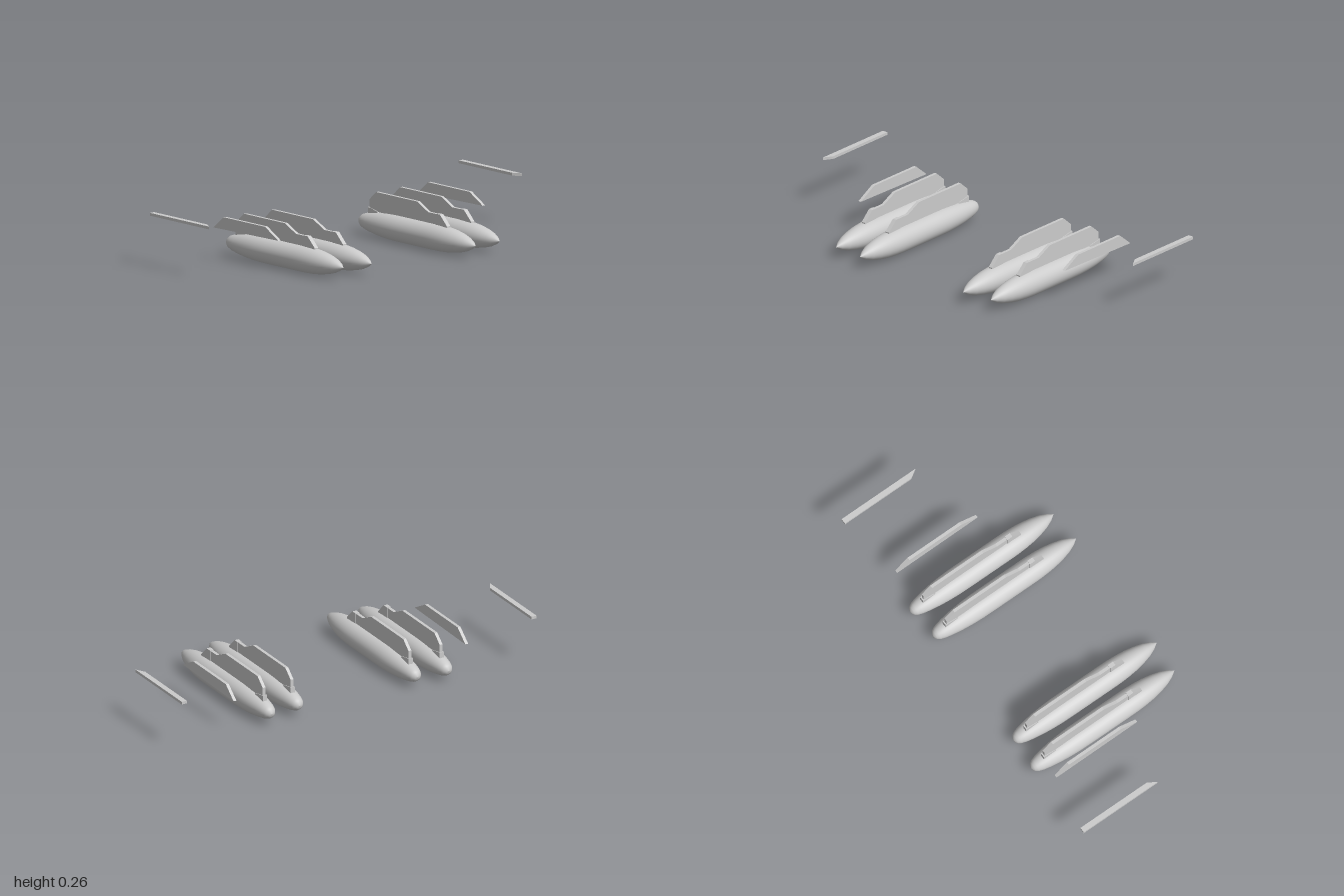
import * as THREE from 'three';

const grey = new THREE.MeshStandardMaterial({ color: 0xcccccc });

// Flat plate from an x-y outline, centred on z = 0
function plate(name, points, width) {
  const shape = new THREE.Shape(points.map(([x, y]) => new THREE.Vector2(x, y)));
  const geo = new THREE.ExtrudeGeometry(shape, { depth: width, bevelEnabled: false });
  geo.translate(0, 0, -width / 2);
  const mesh = new THREE.Mesh(geo, grey);
  mesh.name = name;
  return mesh;
}

// Drop tank: rounded tail at -x, pointed nose at +x
function createTank() {
  const profile = [
    [0, -0.41], [0.013, -0.407], [0.024, -0.399], [0.033, -0.385], [0.041, -0.36],
    [0.048, -0.325], [0.056, -0.27], [0.0615, -0.21], [0.0645, -0.15], [0.065, -0.08],
    [0.065, 0.14], [0.0645, 0.19], [0.062, 0.24], [0.057, 0.29], [0.048, 0.34],
    [0.036, 0.385], [0.02, 0.422], [0, 0.45],
  ].map(([r, x]) => new THREE.Vector2(r, x));
  const geo = new THREE.LatheGeometry(profile, 32);
  geo.rotateZ(-Math.PI / 2);
  geo.translate(0, 0.066, 0);
  const mesh = new THREE.Mesh(geo, grey);
  mesh.name = 'tank';
  return mesh;
}

// Tank with the pylon it hangs from
function createStore() {
  const store = new THREE.Group();
  store.add(createTank());
  store.add(plate('pylon', [
    [-0.335, 0.125], [0.245, 0.125], [0.245, 0.135], [0.195, 0.182], [0.105, 0.182],
    [0.022, 0.222], [-0.285, 0.222], [-0.335, 0.178],
  ], 0.016));
  store.add(plate('rearPylonFoot', [
    [-0.342, 0.1], [-0.26, 0.115], [-0.275, 0.128], [-0.31, 0.135], [-0.342, 0.14],
  ], 0.024));
  store.add(plate('frontPylonFoot', [
    [0.165, 0.12], [0.248, 0.12], [0.248, 0.133], [0.195, 0.184], [0.165, 0.184],
  ], 0.022));
  return store;
}

export function createModel() {
  const model = new THREE.Group();
  model.name = 'underwingStores';

  // Two tanks on each side, the outer ones set slightly back
  for (const [name, x, z] of [
    ['leftOuterStore', -0.015, 0.524], ['leftInnerStore', 0, 0.357],
    ['rightInnerStore', 0, -0.308], ['rightOuterStore', -0.015, -0.474],
  ]) {
    const store = createStore();
    store.name = name;
    store.position.set(x, 0, z);
    model.add(store);
  }

  for (const side of [1, -1]) {
    // Empty outboard pylon
    const fin = plate('outboardPylon', [
      [-0.373, 0.16], [0.111, 0.168], [0.012, 0.222], [-0.299, 0.222],
    ], 0.016);
    fin.position.set(side > 0 ? 0 : -0.005, 0, side * 0.655);
    model.add(fin);

    // Wingtip rail, its front end cut on a slant
    const rail = new THREE.BoxGeometry(0.443, 0.014, 0.028);
    rail.translate(-0.2335, 0.257, side * 0.986);
    const p = rail.attributes.position;
    for (let i = 0; i < p.count; i++) {
      if (p.getX(i) > -0.1 && Math.abs(p.getZ(i)) < 0.986) p.setX(i, -0.057);
    }
    rail.computeVertexNormals();
    const railMesh = new THREE.Mesh(rail, grey);
    railMesh.name = 'wingtipRail';
    model.add(railMesh);
  }
  return model;
}
